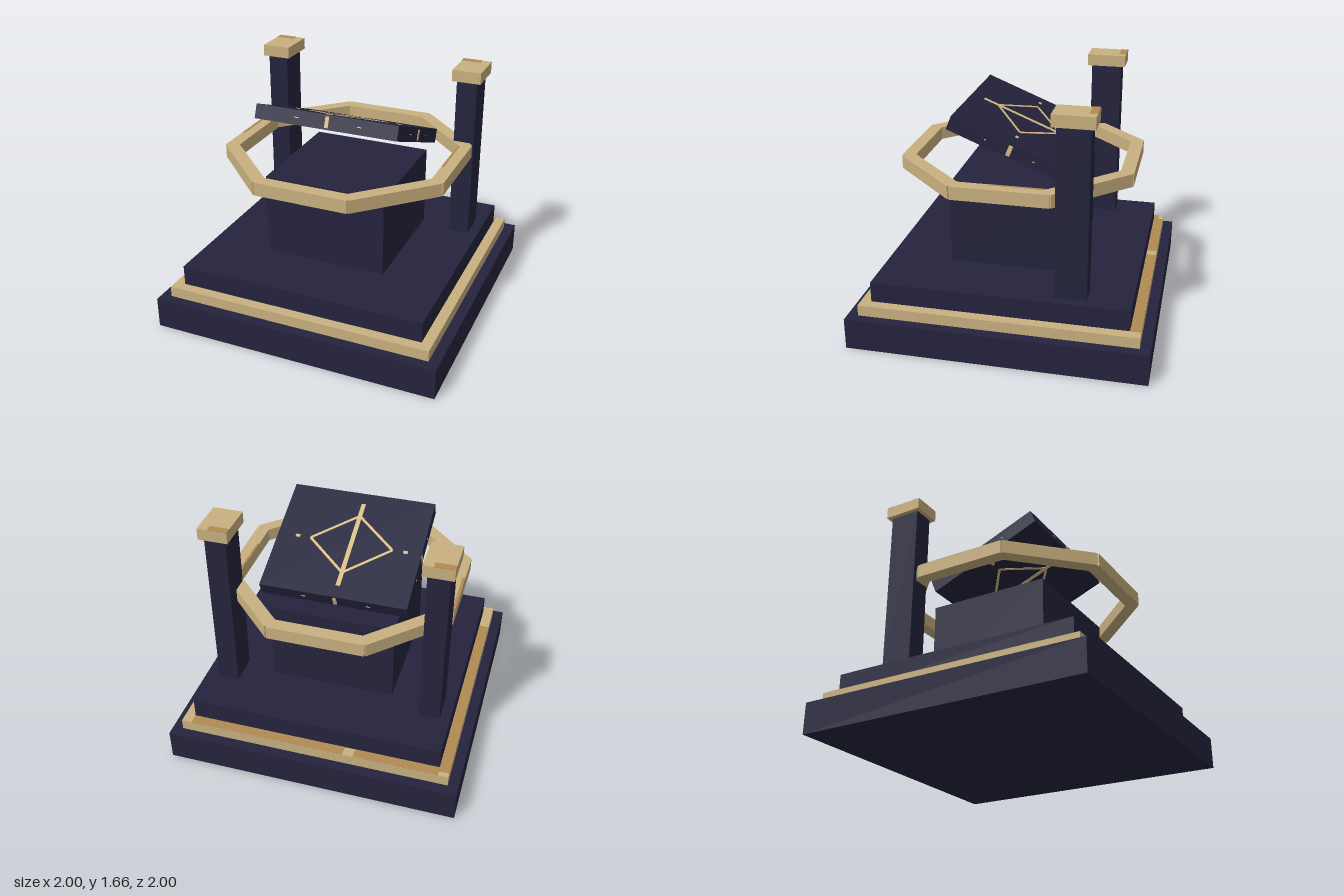
import * as THREE from 'three';

const material = (name, color) => {
  const m = new THREE.MeshStandardMaterial({ color });
  m.name = name;
  return m;
};

export function createModel() {
  const navy = material('navy', 0x24233d);
  const gold = material('gold', 0xc8b07f);
  const darkGold = material('darkGold', 0xb08a52);
  const paleGold = material('paleGold', 0xd8bb85);

  const model = new THREE.Group();
  model.name = 'lecternShrine';

  const box = (parent, name, mat, size, pos) => {
    const mesh = new THREE.Mesh(new THREE.BoxGeometry(...size), mat);
    mesh.name = name;
    mesh.position.set(...pos);
    parent.add(mesh);
    return mesh;
  };

  // Stepped base and pedestal
  box(model, 'baseSlab', navy, [2, 0.215, 2], [0, 0.1075, 0]);
  box(model, 'goldStep', gold, [1.858, 0.075, 1.858], [0, 0.2525, 0]);
  box(model, 'upperStep', navy, [1.716, 0.14, 1.716], [0, 0.36, 0]);
  box(model, 'pedestal', navy, [0.855, 0.57, 0.855], [0, 0.715, 0]);

  // Worn strips on the gold step
  box(model, 'wornStripLeft', darkGold, [0.069, 0.004, 1.57], [-0.8935, 0.29, -0.073 - 0.035]);
  box(model, 'wornStripBackA', darkGold, [0.57, 0.004, 0.069], [-0.574, 0.29, -0.8935]);
  box(model, 'wornStripBackB', darkGold, [1.075, 0.004, 0.069], [0.3205, 0.29, -0.8935]);

  // Two pillars with gold caps
  for (const side of [-1, 1]) {
    const pillar = new THREE.Group();
    pillar.name = side > 0 ? 'leftPillar' : 'rightPillar';
    pillar.position.set(side * 0.716, 0, -0.463);
    box(pillar, 'shaft', navy, [0.143, 1.15, 0.212], [0, 1.005, 0]);
    box(pillar, 'cap', gold, [0.2, 0.08, 0.27], [0, 1.62, 0]);
    box(pillar, 'capPatch', darkGold, [0.13, 0.004, 0.05], [-0.035, 1.66, -0.11]);
    model.add(pillar);
  }

  // Octagonal ring of eight bars
  const ring = new THREE.Group();
  ring.name = 'octagonRing';
  ring.position.y = 1.09;
  for (let i = 0; i < 8; i++) {
    const a = (i * Math.PI) / 4;
    const bar = box(ring, 'ringBar', gold, [0.64, 0.09, 0.09], [Math.sin(a) * 0.743, 0, Math.cos(a) * 0.743]);
    bar.rotation.y = a;
  }
  box(ring, 'ringPatchRight', darkGold, [0.018, 0.004, 0.4], [-0.778, 0.045, -0.11]);
  box(ring, 'ringPatchLeft', darkGold, [0.015, 0.004, 0.37], [0.706, 0.045, -0.095]);
  model.add(ring);

  // Tilted tablet, raised at the front
  const tablet = new THREE.Group();
  tablet.name = 'tablet';
  tablet.position.set(0, 1.292, -0.003);
  tablet.rotation.x = -0.384;
  box(tablet, 'tabletSlab', navy, [1, 0.098, 0.86], [0, 0, 0]);

  // Diamond and staff emblem on both broad faces
  const t = 0.006;
  const halfW = 0.285, halfD = 0.235;
  for (const side of [1, -1]) {
    const emblem = new THREE.Group();
    emblem.name = side > 0 ? 'topEmblem' : 'undersideEmblem';
    emblem.position.set(-0.017, side * 0.049, 0);
    box(emblem, 'staff', paleGold, [0.03, t, 0.68], [0, 0, 0]);
    for (const sx of [-1, 1]) {
      for (const sz of [-1, 1]) {
        const line = box(emblem, 'diamondEdge', paleGold,
          [Math.hypot(halfW, halfD), t - 0.001, 0.018], [sx * halfW / 2, 0, sz * halfD / 2]);
        line.rotation.y = sx * sz * Math.atan2(halfD, halfW);
      }
      box(emblem, 'dot', paleGold, [0.03, t, 0.022], [sx * 0.375, 0, 0]);
    }
    tablet.add(emblem);
  }

  // Small marks around the tablet rim
  for (const s of [-1, 1]) {
    box(tablet, 'endMark', paleGold, [0.026, 0.075, t], [s * 0.015, 0, s * 0.43]);
    box(tablet, 'sideMark', paleGold, [t, 0.075, 0.028], [s * 0.5, 0, 0]);
    for (const d of [-1, 1]) {
      box(tablet, 'endDot', paleGold, [0.03, 0.006, t], [s * 0.02 + d * 0.22, 0, s * 0.43]);
      box(tablet, 'sideDot', paleGold, [t, 0.006, 0.014], [s * 0.5, 0, d * 0.17]);
    }
  }
  model.add(tablet);

  return model;
}
